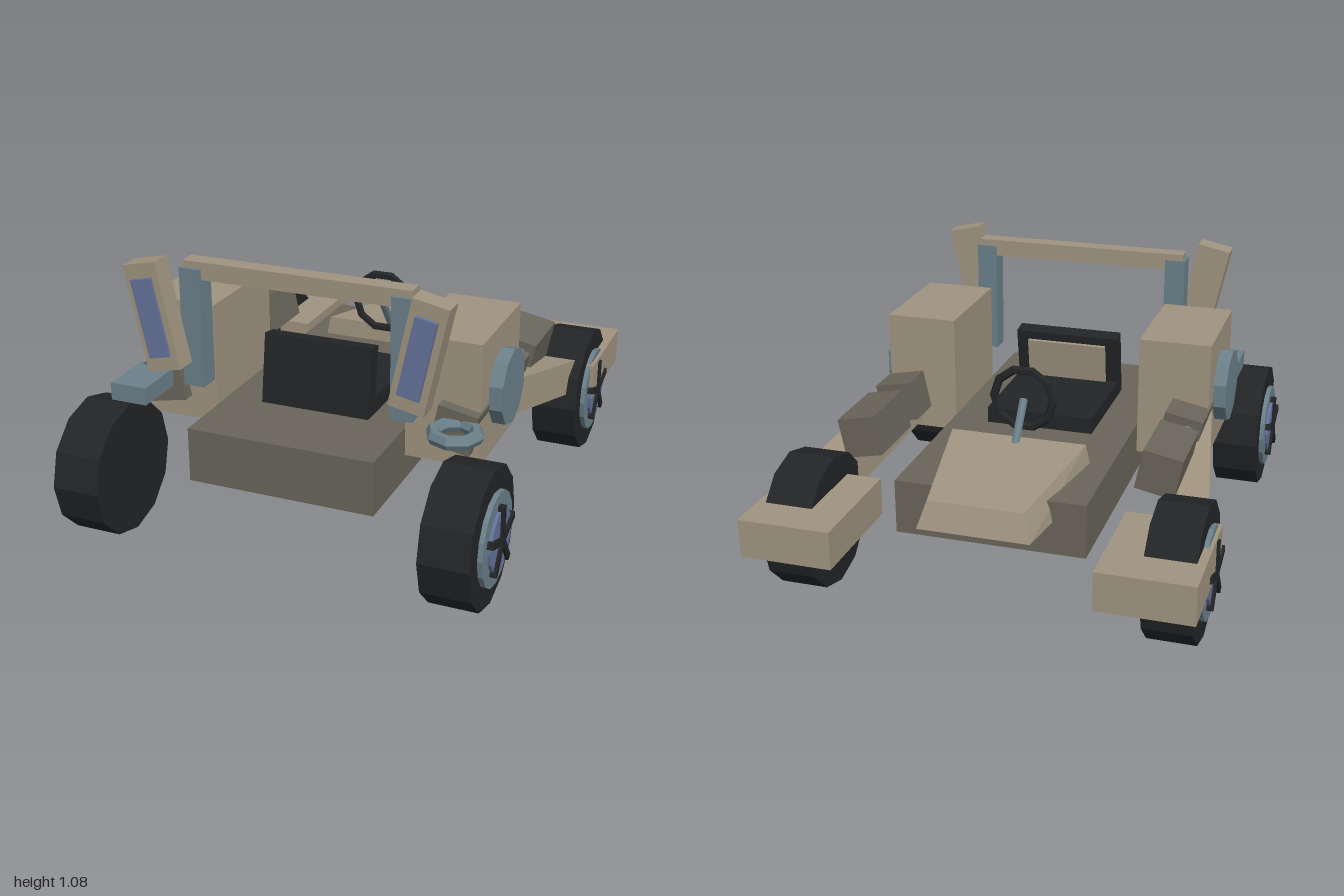
import * as THREE from 'three';

const mat = (name, color) => {
  const m = new THREE.MeshStandardMaterial({ color });
  m.name = name;
  m.flatShading = true;
  return m;
};

export function createModel() {
  const root = new THREE.Group();
  root.name = 'buggy';
  const tan = mat('tan', 0xa09480);
  const olive = mat('olive grey', 0x69655a);
  const steel = mat('blue steel', 0x6a808a);
  const blue = mat('dusk blue', 0x65729a);
  const black = mat('black', 0x222426);

  const add = (name, geo, material, x = 0, y = 0, z = 0, parent = root) => {
    const m = new THREE.Mesh(geo, material);
    m.name = name;
    m.position.set(x, y, z);
    parent.add(m);
    return m;
  };
  // box given by its extents
  const box = (name, material, x0, x1, y0, y1, z0, z1, parent = root) =>
    add(name, new THREE.BoxGeometry(x1 - x0, y1 - y0, z1 - z0), material,
      (x0 + x1) / 2, (y0 + y1) / 2, (z0 + z1) / 2, parent);
  // box whose corners (signs -1 / +1) are moved by a rule
  const warpedBox = (rule) => {
    const g = new THREE.BoxGeometry(2, 2, 2);
    const p = g.attributes.position;
    for (let i = 0; i < p.count; i++) p.setXYZ(i, ...rule(p.getX(i), p.getY(i), p.getZ(i)));
    g.computeVertexNormals();
    return g;
  };
  // cylinder lying along x, a corner pointing straight up
  const disc = (r, width, sides) =>
    new THREE.CylinderGeometry(r, r, width, sides).rotateY(Math.PI / 2).rotateZ(Math.PI / 2);

  // chassis and sloping tapered hood
  box('chassis', olive, -0.363, 0.363, 0.257, 0.466, -0.665, 0.76);
  add('hood', warpedBox((x, y, z) => {
    if (z > 0) return y > 0 ? [x * 0.265, 0.54, -0.315] : [x * 0.295, 0.39, -0.31];
    return y > 0 ? [x * 0.18, 0.48, -0.81] : [x * 0.21, 0.38, -0.845];
  }), tan);

  // seat
  box('seatCushion', black, -0.215, 0.215, 0.46, 0.53, 0 - 0.045, 0.38);
  const back = new THREE.Group();
  back.name = 'seatBack';
  back.position.set(0, 0.598, 0.397);
  back.rotation.x = -0.15;
  root.add(back);
  box('backRest', black, -0.215, 0.215, -0.135, 0.135, -0.033, 0.033, back);
  box('backPad', tan, -0.165, 0.165, -0.07, 0.1, -0.048, -0.03, back);

  // steering wheel and column
  add('steeringWheel', new THREE.TorusGeometry(0.118, 0.017, 6, 10), black, 0, 0.67, -0.247);
  const column = add('steeringColumn', new THREE.CylinderGeometry(0.016, 0.016, 0.18, 8), steel, 0, 0.595, -0.3);
  column.rotation.x = Math.atan2(0.1, 0.13);

  // crossbar between the two posts
  box('crossbar', tan, -0.44, 0.44, 0.985, 1.052, 0.537, 0.605);

  for (const s of [1, -1]) {
    const side = s > 0 ? 'left' : 'right';
    const sideBox = (name, material, x0, x1, ...rest) =>
      box(side + name, material, s > 0 ? x0 : -x1, s > 0 ? x1 : -x0, ...rest);

    // side pod with round cover
    sideBox('Pod', tan, 0.38, 0.66, 0.38, 0.85, 0.035, 0.497);
    add(side + 'PodCover', disc(0.145, 0.06, 10), steel, s * 0.68, 0.613, 0.265);

    // tilted barrels joined by a rod
    const barrels = new THREE.Group();
    barrels.name = side + 'Barrel';
    barrels.position.set(s * 0.578, 0.532, 0);
    barrels.rotation.z = -s * 0.2;
    root.add(barrels);
    box('rearBarrel', olive, -0.075, 0.075, -0.078, 0.078, -0.48, -0.188, barrels);
    box('frontBarrel', olive, -0.075, 0.075, -0.078, 0.078, -0.113, 0.545, barrels);
    const rod = add('barrelRod', new THREE.CylinderGeometry(0.021, 0.021, 0.12, 8), steel,
      s * 0.023, 0.03, -0.15, barrels);
    rod.rotation.x = Math.PI / 2;

    // slanted arm from pod to rear wheel
    add(side + 'RearArm', warpedBox((x, y, z) => z > 0
      ? [s * 0.592 + x * 0.072, 0.49 + y * 0.071, 0.095]
      : [s * 0.715 + x * 0.072, 0.34 + y * 0.071, -0.62]), tan);
    sideBox('RearFender', tan, 0.475, 0.826, 0.253, 0.4, -1, -0.535);

    // roll post and leaning lamp
    sideBox('Post', steel, 0.367, 0.45, 0.57, 1.026, 0.532, 0.617);
    const lamp = new THREE.Group();
    lamp.name = side + 'Lamp';
    lamp.position.set(s * 0.507, 0.863, 0);
    lamp.rotation.z = -s * 0.212;
    root.add(lamp);
    box('lampCase', tan, -0.067, 0.067, -0.203, 0.203, 0.642, 0.727, lamp);
    box('lampGlass', blue, -0.041, 0.041, -0.148, 0.148, 0.72, 0.742, lamp);

    // wheels: tyre, rim, hub and five spokes
    for (const [end, z] of [['Front', 0.745], ['Rear', -0.638]]) {
      const wheel = new THREE.Group();
      wheel.name = side + end + 'Wheel';
      wheel.position.set(0, 0.257, z);
      root.add(wheel);
      add('tyre', disc(0.257, 0.182, 12), black, s * 0.703, 0, 0, wheel);
      add('rim', disc(0.172, 0.05, 16), steel, s * 0.787, 0, 0, wheel);
      add('hub', disc(0.115, 0.05, 16), blue, s * 0.799, 0, 0, wheel);
      for (let i = 0; i < 5; i++) {
        const a = i * Math.PI * 2 / 5;
        const spoke = add('spoke', new THREE.BoxGeometry(0.03, 0.13, 0.026), black,
          s * 0.82, Math.cos(a) * 0.065, Math.sin(a) * 0.065, wheel);
        spoke.rotation.x = a;
      }
    }
  }

  // front fittings: ring on the left, block on the right
  const ring = add('towRing', new THREE.TorusGeometry(0.08, 0.026, 6, 8), steel, 0.605, 0.554, 0.608);
  ring.rotation.x = Math.PI / 2;
  box('frontBlock', steel, -0.685, -0.54, 0.522, 0.59, 0.525, 0.748);

  return root;
}
